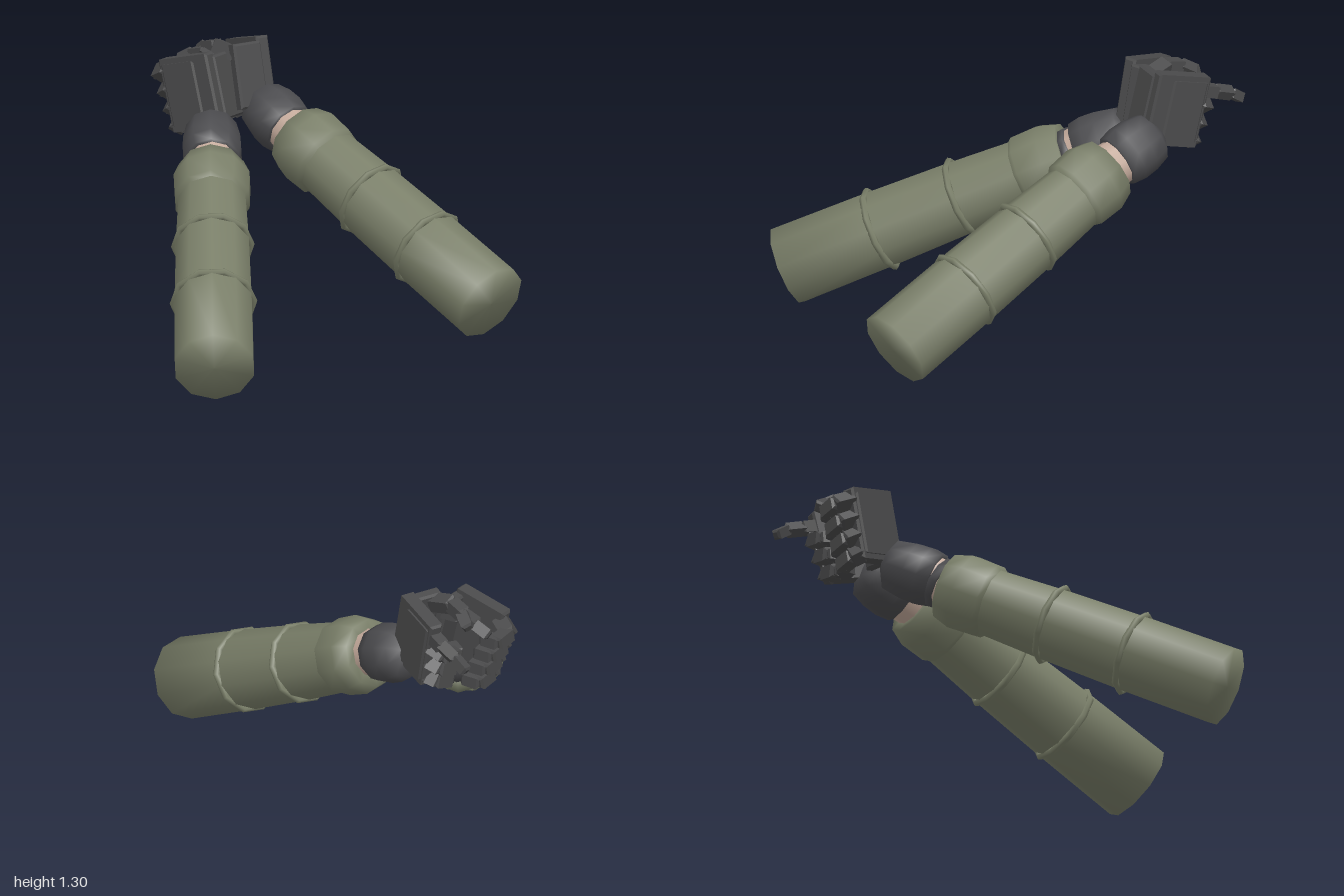
import * as THREE from 'three';

const mat = (name, color, side = THREE.FrontSide) => {
  const m = new THREE.MeshStandardMaterial({ color, side });
  m.name = name;
  return m;
};
const V = (a) => new THREE.Vector3(...a);
const UP = new THREE.Vector3(0, 1, 0);

export function createModel() {
  const model = new THREE.Group();
  model.name = 'armsWithGloves';
  const cloth = mat('oliveCloth', 0x7a7f69, THREE.DoubleSide);
  const glove = mat('gloveCuffGrey', 0x4c4c4f, THREE.DoubleSide);
  const hand = mat('handGrey', 0x4a4a4b);
  const skin = mat('skin', 0xc4aa9b, THREE.DoubleSide);

  const add = (parent, name, geo, material) => {
    const m = new THREE.Mesh(geo, material);
    m.name = name;
    parent.add(m);
    return m;
  };

  // Ten-sided turned shape from [radius, height] pairs
  const turned = (pts) => new THREE.LatheGeometry(pts.map(([r, y]) => new THREE.Vector2(r, y)), 10);

  // Group whose y axis runs from a to b
  const along = (name, a, b) => {
    const g = new THREE.Group();
    g.name = name;
    g.position.copy(V(a));
    g.quaternion.setFromUnitVectors(UP, V(b).sub(V(a)).normalize());
    model.add(g);
    return [g, V(a).distanceTo(V(b))];
  };

  // Box with chamfered edges, centred on the origin
  const chamferBox = (w, h, d, c = 0.01) => {
    const x = w / 2 - c, y = h / 2 - c;
    const s = new THREE.Shape([[-x, -y], [x, -y], [x, y], [-x, y]].map((p) => new THREE.Vector2(...p)));
    const geo = new THREE.ExtrudeGeometry(s, {
      depth: d - 2 * c, bevelEnabled: true, bevelSize: c, bevelThickness: c, bevelSegments: 1,
    });
    return geo.translate(0, 0, c - d / 2);
  };

  // Sleeve, bands, cuff, wrist and glove cuff of one arm
  const arm = (side, elbow, cuffEnd, gloveStart, gloveEnd) => {
    const [g, L] = along(side + 'Sleeve', elbow, cuffEnd);
    add(g, 'sleeve', turned([[0, -0.01], [0.188, 0], [0.184, 0.33 * L], [0.174, 0.62 * L], [0.158, 0.87 * L]]), cloth);
    for (const [t, r] of [[0.33, 0.183], [0.62, 0.174]]) {
      const band = add(g, 'sleeveBand', new THREE.TorusGeometry(r, 0.017, 6, 10), cloth);
      band.rotation.x = Math.PI / 2;
      band.position.y = t * L;
    }
    add(g, 'sleeveCuff', turned([[0.155, 0.83 * L], [0.177, 0.85 * L], [0.182, 0.94 * L], [0.155, L], [0.1, L - 0.005]]), cloth);

    const [wrist] = along(side + 'Wrist', cuffEnd, gloveStart);
    add(wrist, 'wristSkin', turned([[0.112, -0.06], [0.108, 0.14]]), skin);

    const [cuff, n] = along(side + 'GloveCuff', gloveStart, gloveEnd);
    add(cuff, 'gloveCuff', turned([[0.1, 0], [0.128, 0], [0.14, 0.06], [0.137, 0.13], [0.12, n], [0.06, n + 0.035], [0, n + 0.04]]), glove);
    return wrist;
  };
  const rightWrist = arm('right', [-0.72, 0.19, 0.755], [-0.01, 0.80, -0.32], [0.02, 0.835, -0.36], [0.13, 0.93, -0.53]);
  arm('left', [0.685, 0.335, 0.915], [0.44, 0.91, -0.29], [0.432, 0.93, -0.345], [0.41, 1.01, -0.53]);

  // Strap on the right wrist
  add(rightWrist, 'wristStrap', turned([[0.1, 0.005], [0.122, 0.01], [0.122, 0.045], [0.1, 0.05]]), glove);

  // Jointed finger: a chamfered block between each pair of points
  const finger = (parent, name, pts, size) => {
    for (let i = 0; i < pts.length - 1; i++) {
      const a = V(pts[i]), b = V(pts[i + 1]);
      const w = size * (1 - 0.1 * i);
      const seg = add(parent, name, chamferBox(w, w, a.distanceTo(b) + 0.02), hand);
      seg.position.copy(a).add(b).multiplyScalar(0.5);
      seg.quaternion.setFromUnitVectors(new THREE.Vector3(0, 0, 1), b.sub(a).normalize());
    }
  };

  // Hand with its back outwards and thumb on top; s points towards the palm
  const makeHand = (name, s, position, yaw, pointing) => {
    const g = new THREE.Group();
    g.name = name;
    g.position.set(...position);
    g.rotation.set(-0.24, yaw, 0, 'YXZ');
    model.add(g);
    const block = (part, size, at) =>
      add(g, part, chamferBox(...size), hand).position.set(s * at[0], at[1], at[2]);
    block('palm', [0.065, 0.34, 0.27], [0, 0, 0]);
    block('backPlate', [0.03, 0.29, 0.18], [-0.026, 0, -0.03]);
    block('palmHeel', [0.15, 0.3, 0.055], [0.09, 0, 0.115]);
    const path = (pts) => pts.map(([x, y, z]) => [s * x, y, z]);
    for (let i = 0; i < 4; i++) {
      const y = 0.115 - 0.083 * i;
      const back = 0.015 * i;
      if (i === 0 && pointing) {
        finger(g, 'pointingFinger', path([[0, 0.1, -0.12], [0.005, 0.095, -0.19], [0.022, 0.085, -0.28], [0.04, 0.06, -0.345]]), 0.056);
      } else {
        finger(g, 'curledFinger', path([
          [0, y, -0.11], [0.035, y - 0.015, -0.185 + back],
          [0.115, y - 0.035, -0.18 + back], [0.125, y - 0.045, -0.11 + back],
        ]), 0.068);
      }
    }
    finger(g, 'thumb', path([[0.13, 0.1, 0.1], [0.165, 0.15, 0], [0.175, 0.15, -0.08], [0.165, 0.13, -0.15]]), 0.066);
  };
  makeHand('rightHand', 1, [0.1, 1.09, -0.64], 0.4, false);
  makeHand('leftHand', -1, [0.425, 1.13, -0.645], 0, true);

  return model;
}
